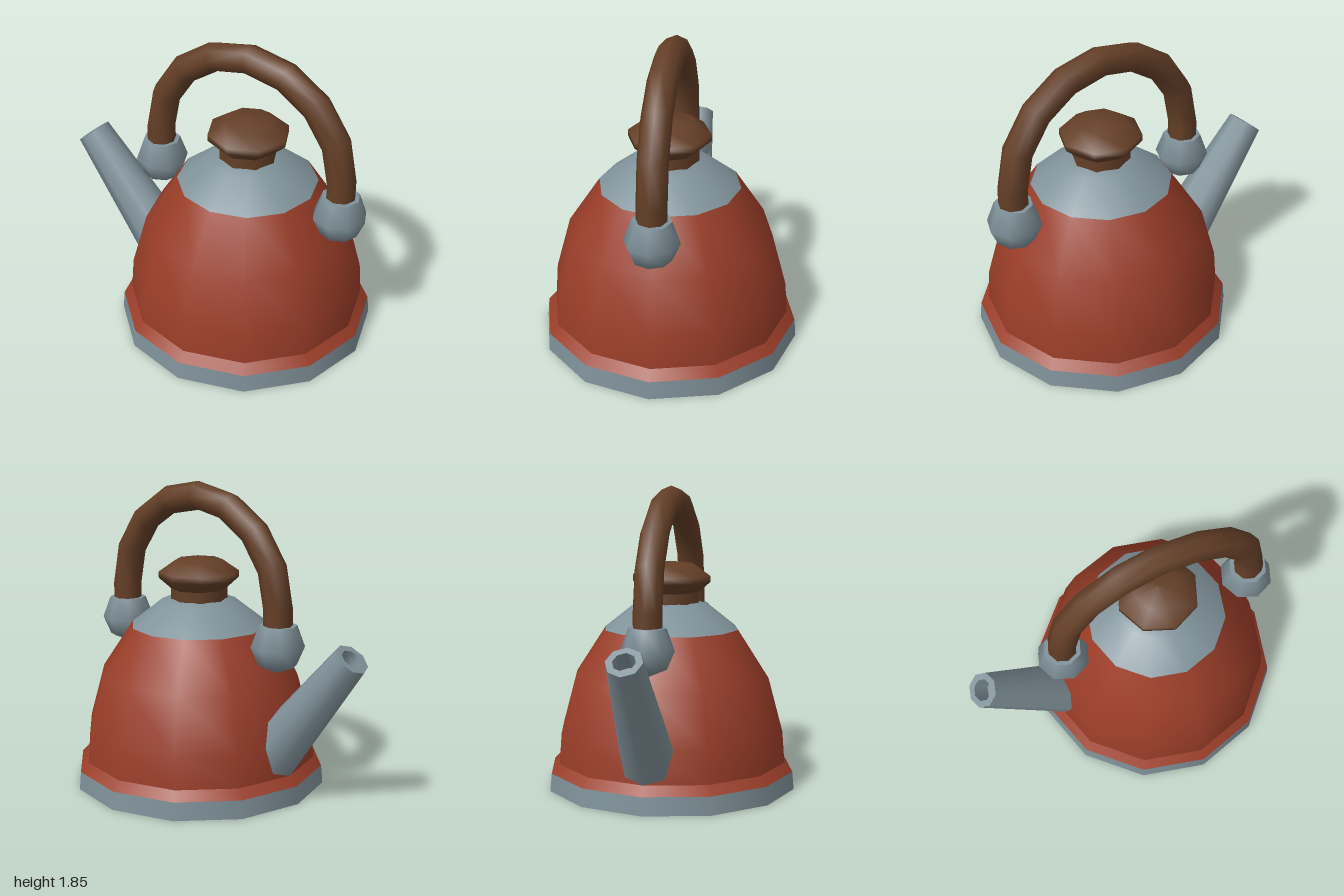
import * as THREE from 'three';

const material = (name, color) => {
  const m = new THREE.MeshStandardMaterial({ color });
  m.name = name;
  return m;
};

export function createModel() {
  const red = material('redEnamel', 0x9a3d28);
  const steel = material('greySteel', 0x80929a);
  const wood = material('brownWood', 0x643f27);

  const kettle = new THREE.Group();
  kettle.name = 'kettle';
  const centreX = 0.22;
  const body = new THREE.Group();
  body.name = 'vessel';
  body.position.x = centreX;
  kettle.add(body);

  const addMesh = (parent, name, geometry, mat, x = 0, y = 0) => {
    const mesh = new THREE.Mesh(geometry, mat);
    mesh.name = name;
    mesh.position.set(x, y, 0);
    parent.add(mesh);
    return mesh;
  };
  // Turned part from [radius, height] pairs, listed bottom to top
  const turned = (parent, name, profile, sides, mat, x = 0, y = 0) =>
    addMesh(parent, name, new THREE.LatheGeometry(
      profile.map(([r, h]) => new THREE.Vector2(r, h)), sides), mat, x, y);

  // Base and body, split at the hard edges
  turned(body, 'baseUnderside', [[0, 0], [0.775, 0]], 12, steel);
  turned(body, 'baseRim', [[0.775, 0], [0.765, 0.11]], 12, steel);
  turned(body, 'baseShoulder', [[0.765, 0.11], [0.715, 0.165]], 12, red);
  turned(body, 'bodyWall',
    [[0.715, 0.165], [0.7, 0.36], [0.61, 0.69], [0.42, 0.98]], 12, red);
  turned(body, 'lid', [[0.42, 0.98], [0.23, 1.13], [0.12, 1.15], [0, 1.15]], 12, steel);

  // Lid knob
  turned(body, 'knobStem', [[0.172, 1.12], [0.172, 1.21]], 8, wood);
  turned(body, 'knobCap',
    [[0.172, 1.206], [0.244, 1.27], [0.244, 1.308], [0.144, 1.378], [0, 1.395]], 8, wood);

  // Arched handle with straight ends set into round mounts
  const handle = new THREE.Group();
  handle.name = 'handle';
  handle.position.x = centreX;
  kettle.add(handle);
  const span = 0.612, archY = 1.155;
  addMesh(handle, 'handleArch',
    new THREE.TorusGeometry(span, 0.087, 8, 8, Math.PI), wood, 0, archY);
  for (const [side, label] of [[1, 'left'], [-1, 'right']]) {
    addMesh(handle, label + 'HandleEnd',
      new THREE.CylinderGeometry(0.087, 0.087, 0.13, 8, 1, true), wood, side * span, archY - 0.065);
    turned(handle, label + 'HandleMount',
      [[0, 0.778], [0.113, 0.826], [0.16, 0.935], [0.113, 1.065]], 8, steel, side * span);
    turned(handle, label + 'MountTop', [[0.113, 1.065], [0, 1.065]], 8, steel, side * span);
  }

  // Tapered spout, leaning out to the model's right, with a recessed mouth
  const spout = new THREE.Group();
  spout.name = 'spout';
  const length = 0.95, lean = 0.68;
  spout.position.set(-0.915 + length * Math.sin(lean), 0.953 - length * Math.cos(lean), 0);
  spout.rotation.z = lean;
  kettle.add(spout);
  turned(spout, 'spoutPipe', [[0.175, 0], [0.106, length]], 8, steel);
  turned(spout, 'spoutLip', [[0.106, length], [0.066, length]], 8, steel);
  turned(spout, 'spoutBore', [[0.066, length], [0.066, length - 0.12]], 8, steel);
  turned(spout, 'spoutFloor', [[0.066, length - 0.12], [0, length - 0.12]], 8, steel);

  return kettle;
}
